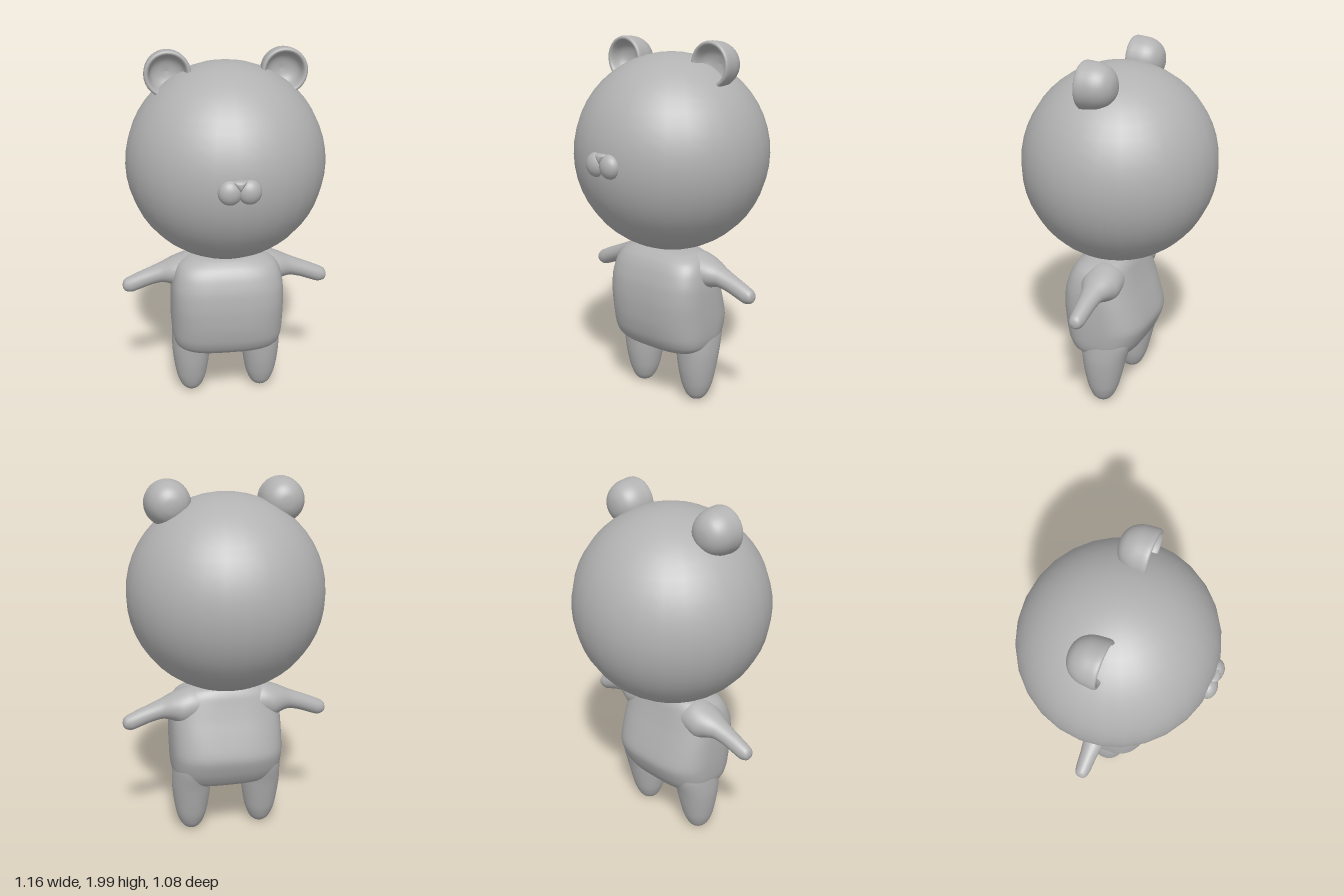
import * as THREE from 'three';

const grey = new THREE.MeshStandardMaterial({ color: 0xb2b2b2 });
grey.name = 'soft grey';

// Lofts superellipse rings. Row: [s, aMin, aMax, zBack, zFront, exponent].
// alongX = false: s is y and a is x; alongX = true: s is x and a is y.
function loft(rows, alongX = false, sides = 36, perRow = 4) {
  const curveA = new THREE.CatmullRomCurve3(rows.map(r => new THREE.Vector3(r[0], r[1], r[2])), false, 'catmullrom', 0.4);
  const curveB = new THREE.CatmullRomCurve3(rows.map(r => new THREE.Vector3(r[3], r[4], r[5])), false, 'catmullrom', 0.4);
  const steps = (rows.length - 1) * perRow;
  const positions = [];
  const index = [];
  const power = (v, n) => Math.sign(v) * Math.pow(Math.abs(v), 2 / n);
  for (let i = 0; i <= steps; i++) {
    const p = curveA.getPoint(i / steps);
    const q = curveB.getPoint(i / steps);
    for (let j = 0; j < sides; j++) {
      const t = (j / sides) * Math.PI * 2;
      const a = (p.y + p.z) / 2 + ((p.z - p.y) / 2) * power(Math.sin(t), q.z);
      const z = (q.x + q.y) / 2 + ((q.y - q.x) / 2) * power(Math.cos(t), q.z);
      if (alongX) positions.push(p.x, a, z);
      else positions.push(a, p.x, z);
    }
  }
  for (let i = 0; i < steps; i++) {
    for (let j = 0; j < sides; j++) {
      const a = i * sides + j;
      const b = i * sides + ((j + 1) % sides);
      const c = b + sides;
      const d = a + sides;
      if (alongX) index.push(a, d, b, b, d, c);
      else index.push(a, b, d, b, c, d);
    }
  }
  const geometry = new THREE.BufferGeometry();
  geometry.setAttribute('position', new THREE.Float32BufferAttribute(positions, 3));
  geometry.setIndex(index);
  geometry.computeVertexNormals();
  return geometry;
}

// Ring symmetric in x
const ring = (y, half, back, front, n) => [y, -half, half, back, front, n];

export function createModel() {
  const model = new THREE.Group();
  model.name = 'bear';
  const add = (name, geometry, x = 0, y = 0, z = 0) => {
    const mesh = new THREE.Mesh(geometry, grey);
    mesh.name = name;
    mesh.position.set(x, y, z);
    model.add(mesh);
    return mesh;
  };

  // Head
  add('head', new THREE.SphereGeometry(1, 28, 24), 0, 1.394, -0.017).scale.set(0.537, 0.535, 0.525);

  // Torso: squarish belly in front, rounded rump behind
  add('torso', loft([
    ring(0.3, 0, -0.02, 0, 2.6),
    ring(0.303, 0.16, -0.1, 0.1, 2.8),
    ring(0.315, 0.25, -0.145, 0.16, 3),
    ring(0.345, 0.292, -0.172, 0.195, 3),
    ring(0.4, 0.308, -0.203, 0.222, 3),
    ring(0.49, 0.314, -0.23, 0.24, 3),
    ring(0.6, 0.314, -0.2, 0.245, 3.1),
    ring(0.7, 0.31, -0.165, 0.235, 3.1),
    ring(0.78, 0.295, -0.14, 0.21, 3),
    ring(0.83, 0.27, -0.125, 0.18, 2.8),
    ring(0.865, 0.215, -0.105, 0.135, 2.6),
    ring(0.878, 0.14, -0.07, 0.085, 2.4),
    ring(0.88, 0, 0, 0.01, 2.2),
  ], false, 48));

  // Limb shapes
  const leg = loft([
    ring(0.01, 0, -0.005, -0.005, 2),
    ring(0.02, 0.036, -0.042, 0.032, 2),
    ring(0.05, 0.062, -0.068, 0.058, 2),
    ring(0.11, 0.084, -0.094, 0.08, 2.1),
    ring(0.2, 0.1, -0.118, 0.1, 2.1),
    ring(0.3, 0.108, -0.142, 0.112, 2.2),
    ring(0.42, 0.1, -0.175, 0.12, 2.2),
    ring(0.5, 0.07, -0.15, 0.1, 2.2),
  ]);
  const arm = loft([
    [0.1, 0.7, 0.86, -0.1, 0.1, 2],
    [0.2, 0.67, 0.872, -0.11, 0.11, 2],
    [0.26, 0.665, 0.856, -0.108, 0.108, 2],
    [0.31, 0.69, 0.836, -0.088, 0.088, 2],
    [0.36, 0.7, 0.813, -0.064, 0.064, 2],
    [0.42, 0.687, 0.788, -0.052, 0.052, 2],
    [0.48, 0.665, 0.764, -0.046, 0.046, 2],
    [0.53, 0.648, 0.742, -0.042, 0.042, 2],
    [0.562, 0.654, 0.726, -0.034, 0.034, 2],
    [0.575, 0.667, 0.71, -0.022, 0.022, 2],
    [0.58, 0.688, 0.688, 0, 0, 2],
  ], true);

  // Hollow cup: outside from the back pole to the rim, then into the bowl
  const earProfile = new THREE.SplineCurve([
    [0, -0.135], [0.045, -0.129], [0.088, -0.102], [0.114, -0.055], [0.122, 0], [0.123, 0.03],
    [0.117, 0.042], [0.106, 0.042], [0.097, 0.028], [0.083, -0.018], [0.05, -0.045], [0, -0.055],
  ].map(([r, z]) => new THREE.Vector2(r, z))).getPoints(44);
  earProfile.forEach(p => { p.x = Math.max(0, p.x); });
  const ear = new THREE.LatheGeometry(earProfile, 32);
  ear.rotateX(Math.PI / 2);

  const cheek = new THREE.SphereGeometry(1, 20, 14);

  for (const [side, label] of [[1, 'left'], [-1, 'right']]) {
    add(label + 'Leg', leg, side * 0.202);
    add(label + 'Arm', arm, 0, 0, -0.018).rotation.y = side > 0 ? 0 : Math.PI;
    add(label + 'Ear', ear, side * 0.305, 1.878, 0);
    add(label + 'Muzzle', cheek, side * 0.049, 1.388, 0.495).scale.set(0.061, 0.064, 0.046);
  }

  // Small triangular nose tucked between the muzzle halves
  add('nose', loft([
    ring(1.395, 0, 0.5, 0.52, 2),
    ring(1.415, 0.014, 0.48, 0.532, 2.2),
    ring(1.438, 0.033, 0.47, 0.532, 2.4),
    ring(1.449, 0.034, 0.47, 0.522, 2.4),
    ring(1.453, 0, 0.49, 0.5, 2),
  ], false, 20, 3));

  return model;
}
